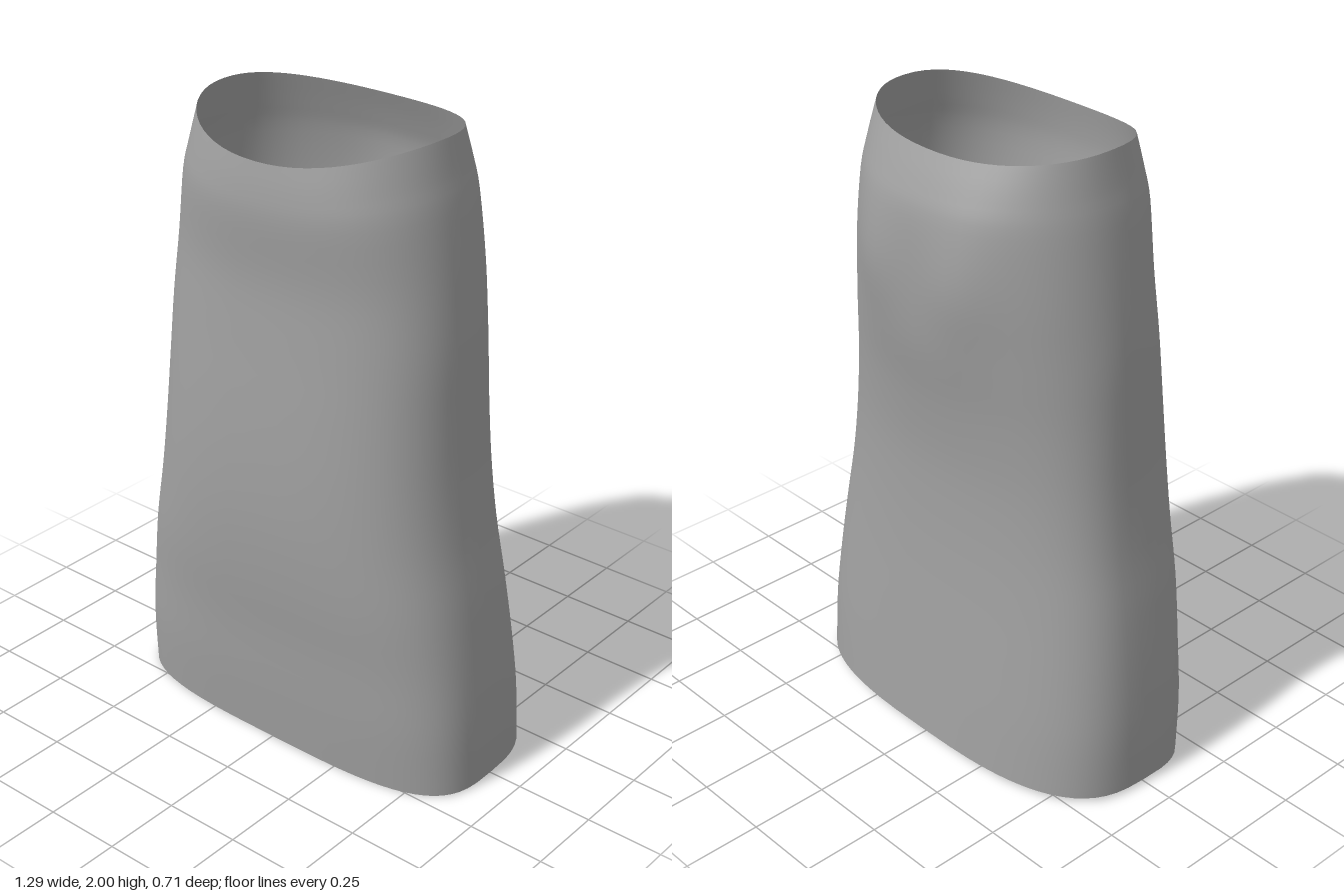
import * as THREE from 'three';

// Cross-sections: height, half width, front z, back z, front squareness, back squareness
const SECTIONS = [
  [0.0, 0.645, 0.29, -0.343, 3.5, 2.9],
  [0.2, 0.64, 0.31, -0.328, 3.4, 2.9],
  [0.4, 0.622, 0.325, -0.312, 3.2, 2.8],
  [0.6, 0.595, 0.346, -0.296, 3.0, 2.7],
  [0.8, 0.56, 0.358, -0.286, 2.8, 2.6],
  [1.0, 0.535, 0.358, -0.286, 2.7, 2.5],
  [1.2, 0.52, 0.35, -0.305, 2.6, 2.3],
  [1.4, 0.508, 0.338, -0.335, 2.5, 2.1],
  [1.6, 0.485, 0.331, -0.345, 2.4, 2.1],
  [1.8, 0.455, 0.345, -0.34, 2.3, 2.1],
  [1.9, 0.432, 0.342, -0.315, 2.2, 2.15],
  [2.0, 0.41, 0.33, -0.277, 2.1, 2.2],
];
const ROWS = 44, SIDES = 64;

// Smooth interpolation between neighbouring sections
function sectionAt(t) {
  const f = t * (SECTIONS.length - 1);
  const i = Math.min(Math.floor(f), SECTIONS.length - 2), u = f - i;
  const at = (k) => SECTIONS[Math.max(0, Math.min(SECTIONS.length - 1, k))];
  return at(i).map((b, k) => {
    const a = at(i - 1)[k], c = at(i + 1)[k], d = at(i + 2)[k];
    return b + 0.5 * u * (c - a + u * (2 * a - 5 * b + 4 * c - d + u * (3 * (b - c) + d - a)));
  });
}

const power = (v, n) => Math.sign(v) * Math.pow(Math.abs(v), 2 / n);

function createTube() {
  const positions = [], indices = [];
  for (let r = 0; r <= ROWS; r++) {
    const [h, width, front, back, nFront, nBack] = sectionAt(r / ROWS);
    for (let s = 0; s < SIDES; s++) {
      const angle = (s / SIDES) * Math.PI * 2;
      const c = Math.cos(angle), n = Math.sin(angle);
      const isFront = n >= 0;
      const squareness = isFront ? nFront : nBack;
      const x = width * power(c, squareness);
      let z = (isFront ? front : -back) * power(n, squareness);
      // Two soft swellings high on the back
      if (!isFront) {
        const dx = (Math.abs(x) - 0.18) / 0.11, dy = (h - 1.62) / 0.18;
        z -= 0.02 * Math.exp(-dx * dx - dy * dy);
      }
      // Rim dips at front and back, hem rises slightly towards the back
      const dip = (isFront ? 0.07 : 0.033) * n * n * Math.pow(h / 2, 5);
      const hem = 0.02 * (0.29 - z) / 0.63 * Math.pow(1 - h / 2, 3);
      positions.push(x, h - dip + hem, z);
    }
  }
  for (let r = 0; r < ROWS; r++) {
    for (let s = 0; s < SIDES; s++) {
      const a = r * SIDES + s, b = r * SIDES + ((s + 1) % SIDES);
      indices.push(a, a + SIDES, b, b, a + SIDES, b + SIDES);
    }
  }
  const geometry = new THREE.BufferGeometry();
  geometry.setAttribute('position', new THREE.Float32BufferAttribute(positions, 3));
  geometry.setIndex(indices);
  geometry.computeVertexNormals();
  return geometry;
}

export function createModel() {
  const group = new THREE.Group();
  group.name = 'longSkirt';
  const fabric = new THREE.MeshStandardMaterial({ color: 0xa0a0a0, side: THREE.DoubleSide });
  fabric.name = 'grey fabric';
  const skirt = new THREE.Mesh(createTube(), fabric);
  skirt.name = 'skirtShell';
  group.add(skirt);
  return group;
}
